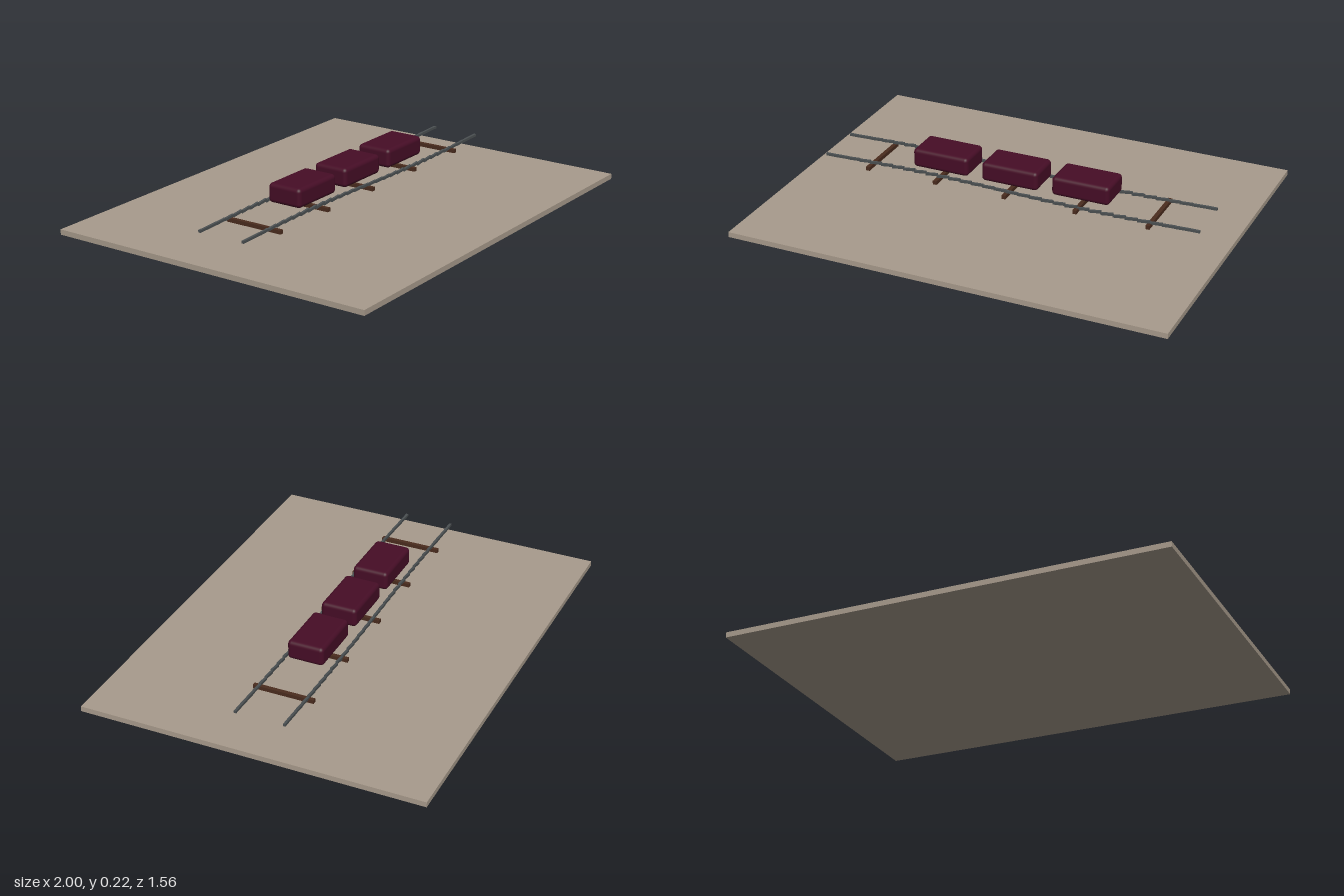
import * as THREE from 'three';
import { RoundedBoxGeometry } from 'three/addons/geometries/RoundedBoxGeometry.js';

const material = (name, color) => {
  const m = new THREE.MeshStandardMaterial({ color });
  m.name = name;
  return m;
};

export function createModel() {
  const model = new THREE.Group();
  model.name = 'trainOnTrack';
  const ground = material('sandyGrey', 0xa89b8c);
  const wood = material('darkWood', 0x4a2c1e);
  const steel = material('railSteel', 0x4b5052);
  const paint = material('maroonPaint', 0x460d26);

  const add = (name, geometry, mat, x, y, z, tilt = 0) => {
    const mesh = new THREE.Mesh(geometry, mat);
    mesh.name = name;
    mesh.position.set(x, y, z);
    mesh.rotation.z = tilt;
    model.add(mesh);
  };

  // Flat ground slab
  add('groundSlab', new THREE.BoxGeometry(2, 0.024, 1.556), ground, 0, 0.012, 0);

  // Five cross ties
  const tie = new THREE.BoxGeometry(0.018, 0.017, 0.278);
  for (let i = -2; i <= 2; i++) add('crossTie', tie, wood, i / 3, 0.104, 0);

  // Two gently waving rails made of short, tilted lengths
  const count = 32, half = 0.889, pitch = (2 * half) / count;
  const length = new THREE.BoxGeometry(pitch * 1.04, 0.011, 0.011);
  for (const z of [-0.111, 0.111]) {
    for (let i = 0; i < count; i++) {
      const x = -half + (i + 0.5) * pitch;
      const wave = Math.sin((Math.PI * x) / half);
      add('railLength', length, steel, x, 0.121 - 0.008 * wave, z, 0.13 * Math.abs(wave));
    }
  }

  // Three rounded carriages
  const body = new RoundedBoxGeometry(0.267, 0.087, 0.167, 3, 0.018);
  for (let i = -1; i <= 1; i++) add('carriage', body, paint, i / 3, 0.175, 0);

  return model;
}
